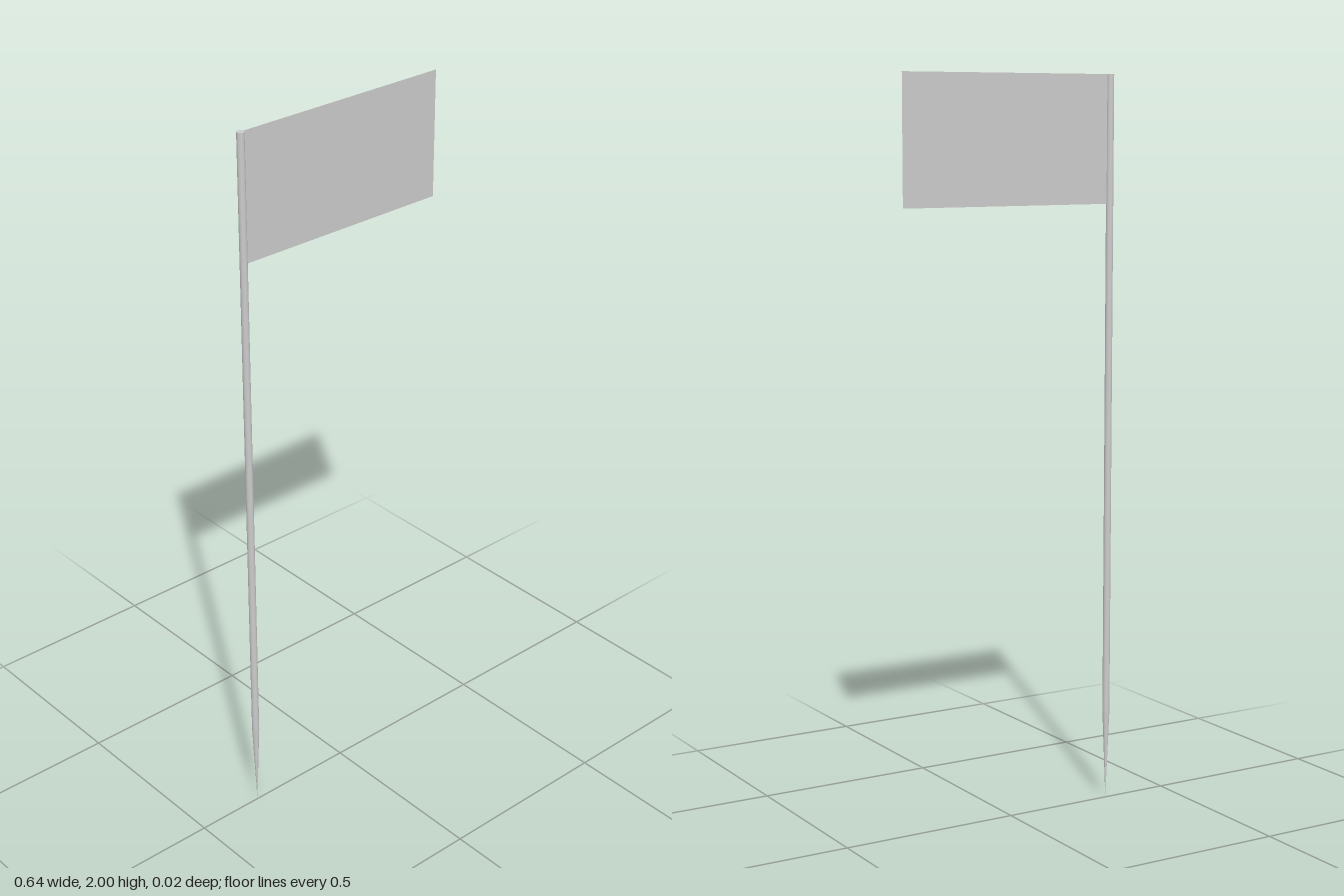
import * as THREE from 'three';

export function createModel() {
  const group = new THREE.Group();
  const material = new THREE.MeshStandardMaterial({ color: 0xcccccc });
  const clothMaterial = new THREE.MeshStandardMaterial({ color: 0xcccccc, side: THREE.DoubleSide });

  const poleX = -0.31, radius = 0.01, spikeHeight = 0.25, top = 2;
  const flagBottom = 1.657, flagEnd = 0.32;

  const add = (name, geometry, mat, x, y) => {
    const mesh = new THREE.Mesh(geometry, mat);
    mesh.name = name;
    mesh.position.set(x, y, 0);
    group.add(mesh);
  };

  // Round pole, closed at the top
  const poleHeight = top - spikeHeight;
  add('pole', new THREE.CylinderGeometry(radius, radius, poleHeight, 16), material,
    poleX, spikeHeight + poleHeight / 2);

  // Sharpened end that goes into the ground
  add('spike', new THREE.CylinderGeometry(radius, 0, spikeHeight, 16, 1, true), material,
    poleX, spikeHeight / 2);

  // Flat sheet of cloth fixed along the pole
  const flagWidth = flagEnd - poleX;
  add('flag', new THREE.PlaneGeometry(flagWidth, top - flagBottom), clothMaterial,
    poleX + flagWidth / 2, (top + flagBottom) / 2);

  return group;
}
